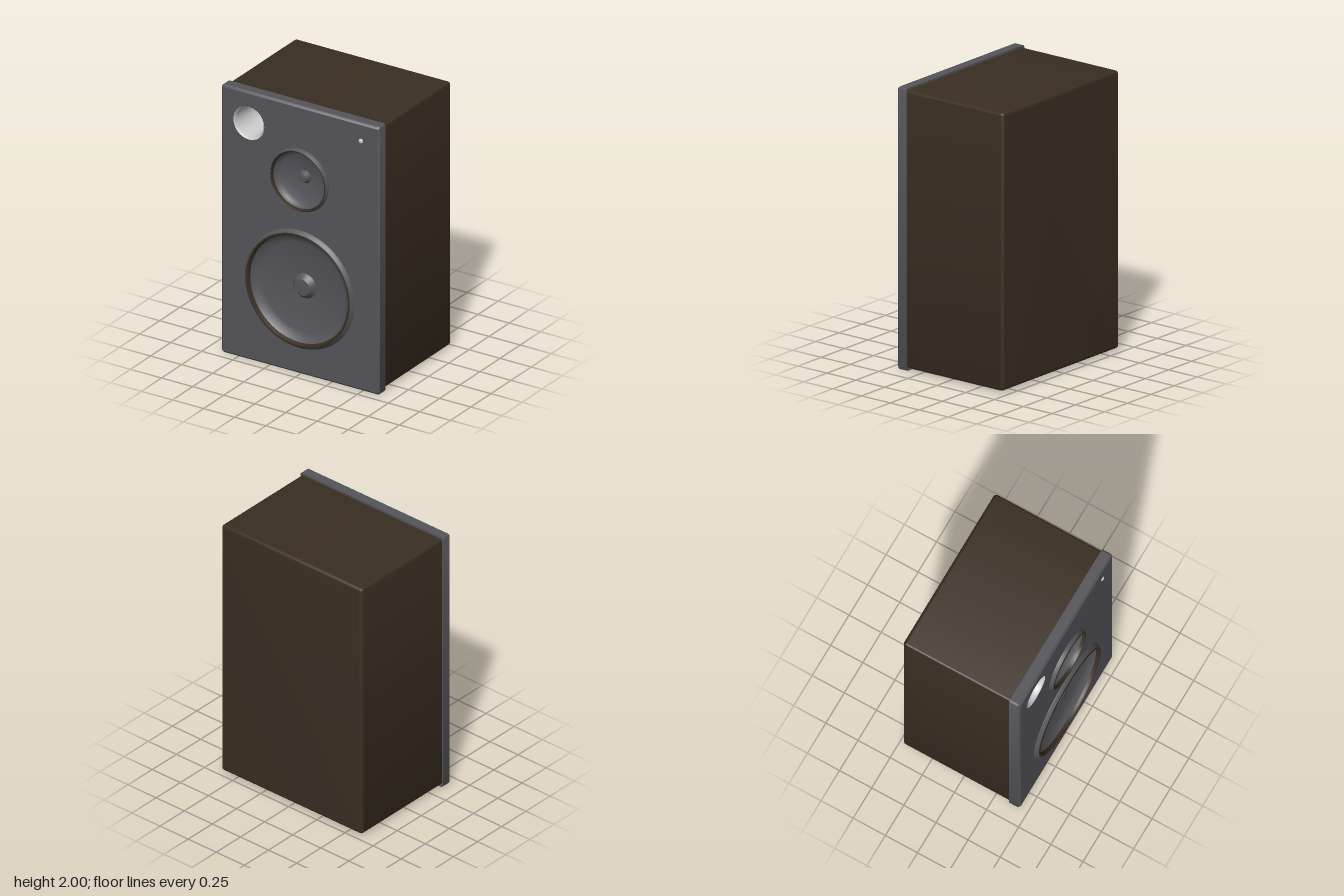
import * as THREE from 'three';
import { toCreasedNormals } from 'three/addons/utils/BufferGeometryUtils.js';

const material = (name, color) => {
  const m = new THREE.MeshStandardMaterial({ color });
  m.name = name;
  return m;
};

export function createModel() {
  const group = new THREE.Group();
  const brown = material('dark walnut', 0x3a2e22);
  const grey = material('charcoal', 0x55555a);
  const light = material('light grey', 0xcccccc);

  const add = (name, geometry, mat, parent = group) => {
    const mesh = new THREE.Mesh(geometry, mat);
    mesh.name = name;
    parent.add(mesh);
    return mesh;
  };

  // Rounded rectangle between z0 and z1, with optional bevel and round holes [x, y, r]
  const panel = (halfW, y0, y1, z0, z1, bevel = 0, segments = 1, holes = []) => {
    const r = 0.02, w = halfW;
    const s = new THREE.Shape();
    s.moveTo(-w + r, y0);
    s.lineTo(w - r, y0);
    s.absarc(w - r, y0 + r, r, -Math.PI / 2, 0);
    s.absarc(w - r, y1 - r, r, 0, Math.PI / 2);
    s.absarc(-w + r, y1 - r, r, Math.PI / 2, Math.PI);
    s.absarc(-w + r, y0 + r, r, Math.PI, Math.PI * 1.5);
    for (const [x, y, radius] of holes) {
      s.holes.push(new THREE.Path().absarc(x, y, radius, 0, Math.PI * 2, true));
    }
    const g = new THREE.ExtrudeGeometry(s, {
      depth: z1 - z0 - 2 * bevel, curveSegments: 24, bevelEnabled: bevel > 0,
      bevelThickness: bevel, bevelSize: bevel, bevelOffset: -bevel, bevelSegments: segments,
    });
    g.translate(0, 0, z0 + bevel);
    return toCreasedNormals(g, 0.6);
  };

  // Profile of [radius, z] turned about the z axis
  const turned = (points) => new THREE.LatheGeometry(
    points.map(([r, z]) => new THREE.Vector2(r, z)), 64).rotateX(Math.PI / 2);

  const port = [-0.41, 1.77];
  const woofer = { y: 0.635, scale: 1 };
  const tweeter = { y: 1.45, scale: 0.53 };
  const portHole = [...port, 0.11];
  const holes = [portHole, ...[woofer, tweeter].map((d) => [0, d.y, 0.41 * d.scale])];

  // Cabinet with a rounded back
  add('cabinetBody', panel(0.625, 0.02, 1.985, -0.45, 0.36, 0, 1, [portHole]), brown);
  add('cabinetBack', panel(0.625, 0.02, 1.985, -0.475, -0.38, 0.025, 4), brown);
  add('bottomPlate', new THREE.BoxGeometry(1.21, 0.008, 0.8), grey).position.set(0, 0.018, -0.04);

  // Front baffle: square rear edge, bevelled front edge
  add('baffleRear', panel(0.635, 0, 2, 0.357, 0.41, 0, 1, holes), grey);
  add('baffleFront', panel(0.635, 0, 2, 0.37, 0.44, 0.015, 1, holes), grey);

  // Drivers: flared collar, brown lip, dished cone and dust cap
  const driver = (name, { y, scale }) => {
    const d = new THREE.Group();
    d.name = name;
    d.position.y = y;
    group.add(d);
    const part = (label, points) => turned(points.map(([r, z]) => [r * scale, z]));
    add('collar', part('collar', [[0.44, 0.438], [0.435, 0.45], [0.418, 0.467]]), grey, d);
    add('lip', part('lip', [[0.418, 0.467], [0.408, 0.472], [0.4, 0.462], [0.396, 0.44]]), brown, d);
    add('cone', part('cone', [[0.396, 0.445], [0.375, 0.423], [0.33, 0.402], [0.2, 0.387], [0.08, 0.378]]), grey, d);
    add('dustCapSide', part('side', [[0.092, 0.378], [0.06, 0.415]]), grey, d);
    add('dustCapFace', part('face', [[0.06, 0.415], [0, 0.418]]), grey, d);
  };
  driver('woofer', woofer);
  driver('tweeter', tweeter);

  // Bass port, flared at the mouth
  add('port', turned([[0.124, 0.4405], [0.109, 0.425], [0.108, 0.3], [0.108, -0.1], [0, -0.1]]), light)
    .position.set(...port, 0);

  // Indicator light
  const led = add('indicator', new THREE.SphereGeometry(0.018, 20, 12), light);
  led.position.set(0.49, 1.865, 0.438);
  led.scale.z = 0.7;

  // Rear feet
  for (const side of [-1, 1]) {
    add('rearFoot', new THREE.CylinderGeometry(0.045, 0.045, 0.02, 32), light)
      .position.set(side * 0.54, 0.012, -0.385);
  }
  return group;
}
